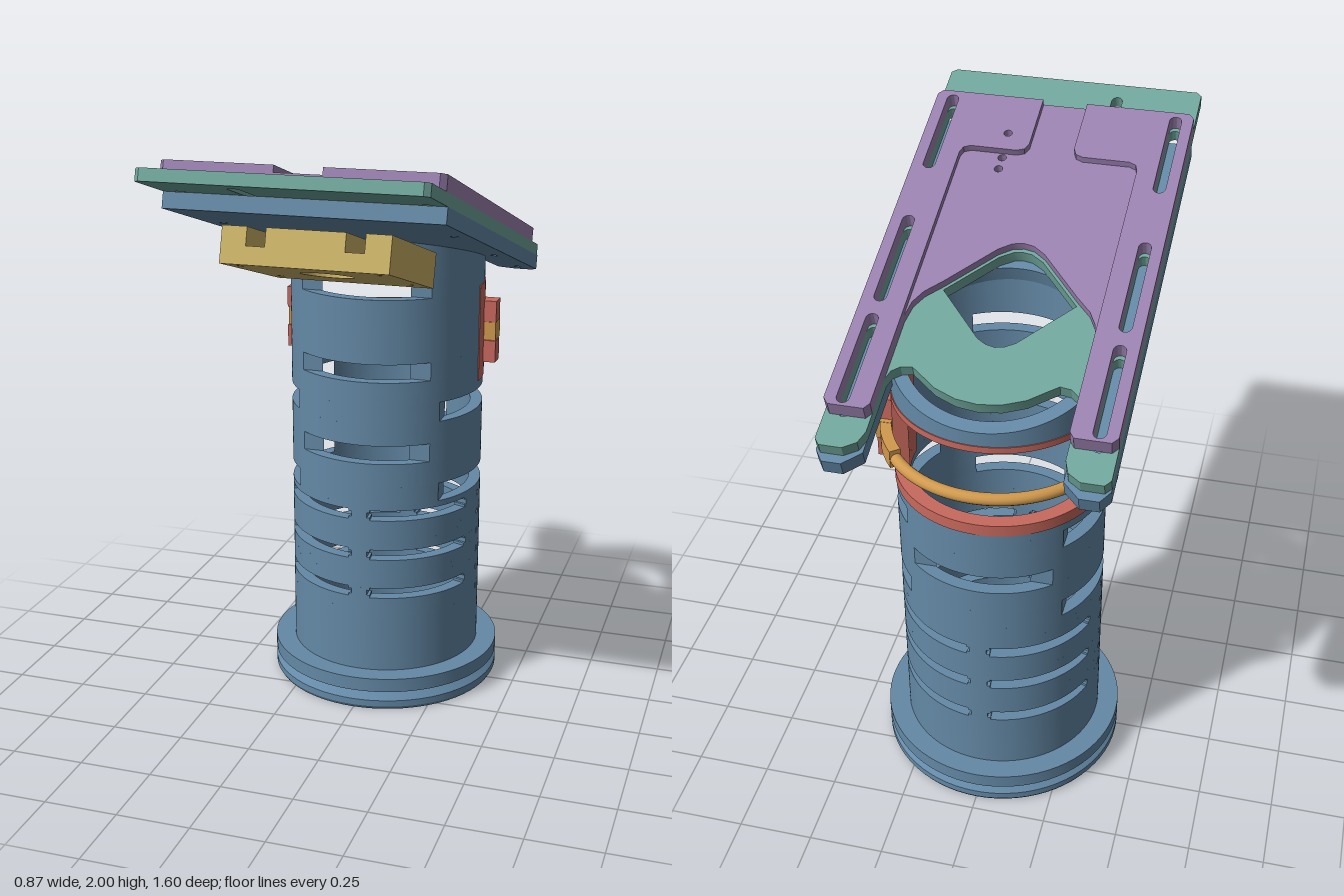
import * as THREE from 'three';
import { toCreasedNormals } from 'three/addons/utils/BufferGeometryUtils.js';

const mat = (name, color) => new THREE.MeshStandardMaterial({ name, color });
const blue = mat('steel blue', 0x6489a6);
const green = mat('sea green', 0x70a69b);
const purple = mat('soft purple', 0x9b82b0);
const yellow = mat('sand yellow', 0xcdb468);
const red = mat('brick red', 0xc8695d);
const orange = mat('amber', 0xd19a4e);

const RAD = Math.PI / 180;
const TILT = 17 * RAD, SIN = Math.sin(TILT), COS = Math.cos(TILT), TAN = SIN / COS;
const AXIS = -0.293;          // z of the tube axis
const R_OUT = 0.34, R_IN = 0.297;
const PLATE_Y = 1.666;        // underside of the tilted plates at z = 0

function add(parent, name, geometry, material) {
  const mesh = new THREE.Mesh(geometry, material);
  mesh.name = name;
  parent.add(mesh);
  return mesh;
}

// Ring sector in plan, degrees: front is -90, back is 90; inner angles may differ
function sector(o0, o1, i0, i1, rOut, rIn, y0, y1) {
  const s = new THREE.Shape();
  s.absarc(0, 0, rOut, o0 * RAD, o1 * RAD, false);
  s.absarc(0, 0, rIn, i1 * RAD, i0 * RAD, true);
  s.closePath();
  const curveSegments = Math.max(6, Math.ceil((o1 - o0) / 4));
  const g = new THREE.ExtrudeGeometry(s, { depth: y1 - y0, bevelEnabled: false, curveSegments });
  g.rotateX(-Math.PI / 2);
  g.translate(0, y0, AXIS);
  return g;
}

// One height band of the tube; gap = [centre, outer half angle, inner half angle]
function tubeBand(parent, y0, y1, gaps) {
  const list = gaps.length ? [...gaps].sort((a, b) => a[0] - b[0]) : [[0, 0, 0], [180, 0, 0]];
  list.forEach((a, i) => {
    const last = i === list.length - 1;
    const b = list[last ? 0 : i + 1], c = b[0] + (last ? 360 : 0);
    const g = sector(a[0] + a[1], c - b[1], a[0] + a[2], c - b[2], R_OUT, R_IN, y0, y1);
    // trim the top to the tilted plate
    const p = g.attributes.position;
    for (let k = 0; k < p.count; k++)
      p.setY(k, Math.min(p.getY(k), PLATE_Y + 0.052 + TAN * p.getZ(k)));
    add(parent, 'tubeBand', toCreasedNormals(g, 0.5), blue);
  });
}

// Plan points [x, z] to a shape; a half outline is mirrored across x = 0
const toShape = pts => new THREE.Shape(pts.map(([x, z]) => new THREE.Vector2(x, -z)));
const mirror = half => [...half, ...half.map(([x, z]) => [-x, z]).reverse().filter(([x]) => x !== 0)];

function circleHole(x, z, r) {
  const h = new THREE.Path();
  h.absarc(x, -z, r, 0, Math.PI * 2, false);
  return h;
}
function slotHole(x, z0, z1, r) {
  const h = new THREE.Path();
  h.absarc(x, -z0 - r, r, 0, Math.PI, false);
  h.absarc(x, -z1 + r, r, Math.PI, Math.PI * 2, false);
  h.closePath();
  return h;
}

// Extrude a plan shape between two heights of the tilted frame
function plate(parent, name, shape, w0, w1, ref, material) {
  const g = new THREE.ExtrudeGeometry(shape, { depth: w1 - w0, bevelEnabled: false, curveSegments: 12 });
  g.rotateX(-Math.PI / 2);
  g.scale(1, 1, 1 / COS);
  g.translate(0, w0, ref * TAN);
  add(parent, name, toCreasedNormals(g, 0.5), material);
}

export function createModel() {
  const model = new THREE.Group();
  model.name = 'tubeStandWithTiltedPlates';

  // Grooved base flange
  const profile = [[R_IN, 0], [0.405, 0], [0.412, 0.012], [0.412, 0.035], [0.385, 0.06], [0.385, 0.07],
    [0.412, 0.07], [0.412, 0.12], [R_IN, 0.12], [R_IN, 0]].map(p => new THREE.Vector2(...p));
  const base = add(model, 'baseFlange', toCreasedNormals(new THREE.LatheGeometry(profile, 72), 0.5), blue);
  base.position.z = AXIS;

  // Tube with slots
  const tube = new THREE.Group();
  tube.name = 'slottedTube';
  model.add(tube);
  const cut = a => [a, 41.9, 31.6];
  const sides = [cut(0), cut(180)], front = cut(-90), back = cut(90), windowGap = [90, 95, 95];
  const cuts = [];
  [0.325, 0.4, 0.475, 0.545, 0.62, 0.692].forEach((y, i) => {
    const c = i % 2 ? -90 : 90;
    const slots = half => [[c - 38.5, half, half], [c + 38.5, half, half]];
    const pinHoles = [[0, 1.6, 1.6], [180, 1.6, 1.6]];
    cuts.push([y, y + 0.009, slots(32)], [y + 0.009, y + 0.028, [...slots(33.8), ...pinHoles]],
      [y + 0.028, y + 0.037, slots(32)]);
  });
  cuts.push([0.75, 0.815, sides], [0.9, 0.965, [front, back]], [1.04, 1.108, sides],
    [1.14, 1.19, [windowGap]], [1.19, 1.253, [windowGap, front]], [1.253, 1.475, [windowGap]],
    [1.475, 1.543, [front]], [1.543, 1.76, []]);
  let y = 0.12;
  for (const [y0, y1, gaps] of cuts) {
    if (y0 - y > 0.001) tubeBand(tube, y, y0, []);
    tubeBand(tube, y0, y1, gaps);
    y = y1;
  }

  // Window frame with hinge lugs, and the clasp ring
  const frame = new THREE.Group(), clasp = new THREE.Group();
  frame.name = 'windowFrame';
  clasp.name = 'claspRing';
  model.add(frame, clasp);
  const arc = (parent, name, a0, a1, ro, ri, y0, y1, m) =>
    add(parent, name, toCreasedNormals(sector(a0, a1, a0, a1, ro, ri, y0, y1), 0.5), m);
  arc(frame, 'lowerRail', -5.5, 185.5, 0.343, 0.294, 1.138, 1.178, red);
  arc(frame, 'upperRail', -5.5, 185.5, 0.343, 0.294, 1.455, 1.477, red);
  for (const s of [1, -1]) {
    const span = (a, b) => s > 0 ? [a, b] : [180 - b, 180 - a];
    arc(frame, 'framePost', ...span(-5.5, 20), 0.343, 0.294, 1.178, 1.455, red);
    for (const [y0, y1] of [[1.19, 1.268], [1.335, 1.41]]) {
      const lug = add(frame, 'hingeLug', new THREE.BoxGeometry(0.06, y1 - y0, 0.06), red);
      lug.position.set(s * 0.355, (y0 + y1) / 2, -0.35);
    }
    const knuckle = add(clasp, 'claspKnuckle', new THREE.BoxGeometry(0.05, 0.064, 0.07), orange);
    knuckle.position.set(s * 0.358, 1.301, -0.36);
    arc(clasp, 'claspArm', ...span(8, 40), 0.382, 0.345, 1.27, 1.332, orange);
  }
  const ring = new THREE.TorusGeometry(0.361, 0.02, 12, 48, 120 * RAD);
  ring.rotateZ(30 * RAD);
  ring.rotateX(-Math.PI / 2);
  add(clasp, 'claspBar', ring, orange).position.set(0, 1.298, AXIS);

  // Tilted plate stack
  const deck = new THREE.Group();
  deck.name = 'tiltedDeck';
  deck.position.y = PLATE_Y;
  deck.rotation.x = -TILT;
  model.add(deck);
  const railSlots = s => [[-0.68, -0.35], [-0.3, 0.05], [0.26, 0.6]].map(([a, b]) => slotHole(s * 0.38, a, b, 0.02));
  const bothSlots = () => [...railSlots(1), ...railSlots(-1)];

  // Lower plate wraps the tube bore
  const lower = [[0, 0.61], [0.437, 0.61], [0.437, -0.75], [0.41, -0.787], [0.35, -0.787], [0.297, -0.74]];
  for (let i = 0; i <= 16; i++) {
    const t = i / 16 * Math.PI / 2;
    lower.push([i === 16 ? 0 : R_IN * Math.cos(t), AXIS + R_IN * Math.sin(t)]);
  }
  const lowerShape = toShape(mirror(lower));
  for (const x of [0.38, -0.38]) for (const z of [0.275, -0.28, -0.685]) lowerShape.holes.push(circleHole(x, z, 0.014));
  plate(deck, 'lowerPlate', lowerShape, 0, 0.051, 0, blue);

  // Middle plate with diamond opening
  const middle = toShape(mirror([[0, 0.79], [0.42, 0.79], [0.437, 0.775], [0.437, -0.765], [0.42, -0.785],
    [0.35, -0.785], [0.31, -0.76], [0.295, -0.72], [0.295, -0.53], [0.285, -0.5], [0.26, -0.48], [0.225, -0.475],
    [0.2, -0.493], [0.14, -0.538], [0.07, -0.566], [0, -0.575]]));
  const diamond = mirror([[0, -0.365], [0.03, -0.358], [0.06, -0.34], [0.21, -0.175], [0.07, -0.02], [0.03, 0.005], [0, 0.01]]);
  middle.holes.push(new THREE.Path(diamond.map(([x, z]) => new THREE.Vector2(x, -z))),
    ...bothSlots(), slotHole(-0.16, 0.45, 0.73, 0.018));
  plate(deck, 'middlePlate', middle, 0.051, 0.09, 0.09, green);

  // Top plate: recessed sheet with two raised rails
  const armEnd = [[0.42, 0.62], [0.437, 0.6], [0.437, -0.67], [0.42, -0.69], [0.31, -0.69], [0.295, -0.67]];
  const sheet = toShape(mirror([[0, 0.62], ...armEnd, [0.295, -0.33], [0.285, -0.27], [0.26, -0.225],
    [0.21, -0.175], [0.075, -0.025], [0.035, 0.003], [0, 0.01]]));
  sheet.holes.push(...bothSlots(), ...[0.31, 0.36, 0.45].map(z => circleHole(0.156, z, 0.014)));
  plate(deck, 'topSheet', sheet, 0.09, 0.116, 0.138, purple);
  for (const s of [1, -1]) {
    const rail = toShape([[0.075, 0.62], ...armEnd, [0.295, 0.345], [0.287, 0.368], [0.265, 0.378], [0.11, 0.378],
      [0.086, 0.388], [0.075, 0.412]].map(([x, z]) => [s * x, z]));
    rail.holes.push(...railSlots(s));
    if (s > 0) rail.holes.push(circleHole(0.156, 0.45, 0.014));
    plate(deck, 'topRail', rail, 0.116, 0.138, 0.138, purple);
  }

  // Mounting block: plain lower half, notched upper half
  const blockHoles = () => [circleHole(0, 0.335, 0.085),
    ...[0.22, -0.22].flatMap(x => [0.5, 0.155].map(z => circleHole(x, z, 0.011)))];
  const blockBase = toShape(mirror([[0.265, 0.56], [0.265, 0.055]]));
  const blockTop = toShape(mirror([[0.125, 0.56], [0.125, 0.26], [0.185, 0.26], [0.185, 0.56], [0.265, 0.56],
    [0.265, 0.055]]));
  blockBase.holes.push(...blockHoles());
  blockTop.holes.push(...blockHoles());
  plate(deck, 'blockBase', blockBase, -0.147, -0.09, -0.032, yellow);
  plate(deck, 'blockTop', blockTop, -0.09, -0.032, -0.032, yellow);

  return model;
}
